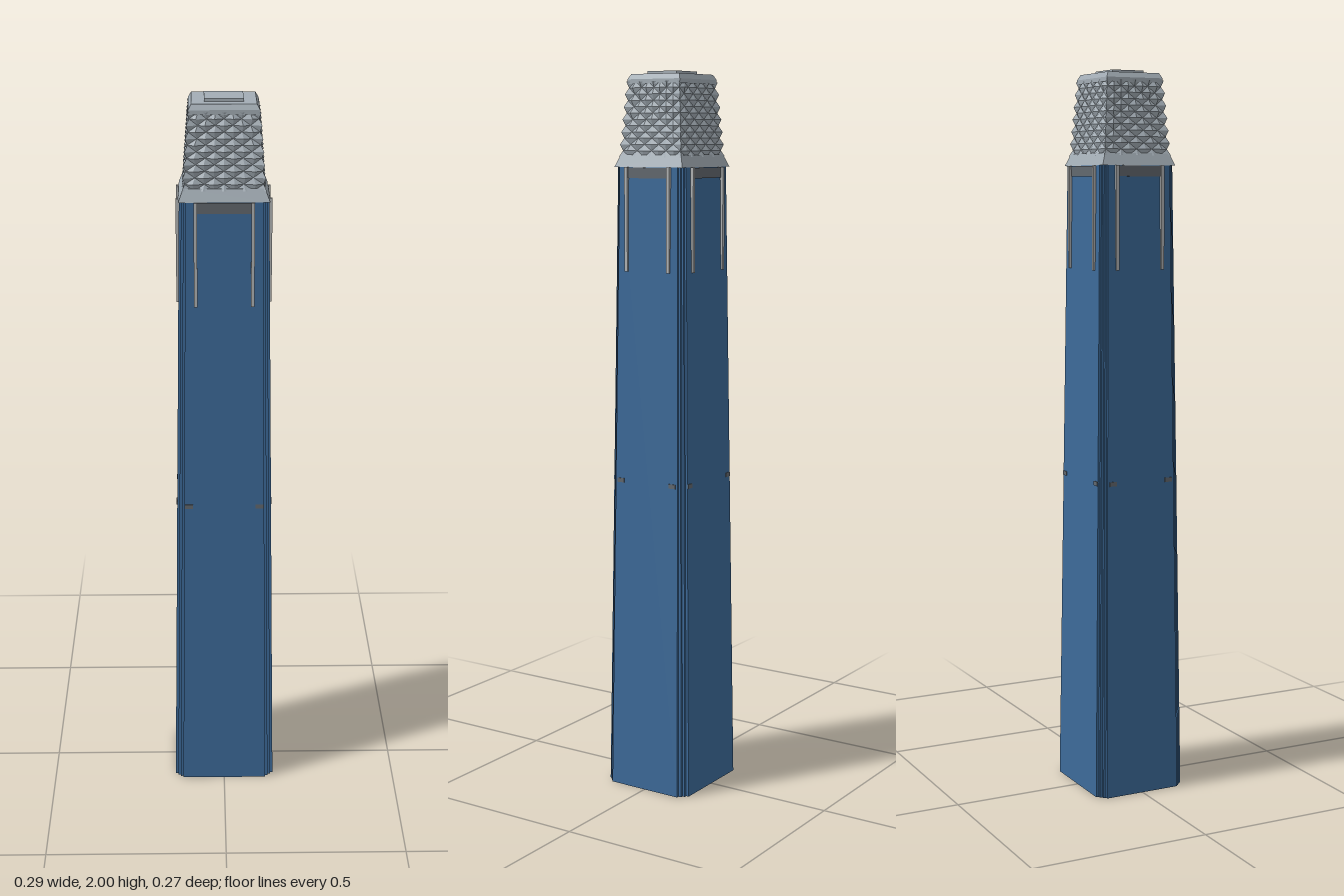
import * as THREE from 'three';

const TOP = 1.745; // height of the shaft
const mat = (name, color, double) => {
  const m = new THREE.MeshStandardMaterial({ color, flatShading: true });
  m.name = name;
  if (double) m.side = THREE.DoubleSide;
  return m;
};

// Half width / half depth of the shaft at height y
const halfX = (y) => THREE.MathUtils.lerp(0.144, 0.117, y / TOP);
const halfZ = (y) => THREE.MathUtils.lerp(0.134, 0.11, y / TOP);

// Skin closed rings of equal length; each ring runs counter-clockwise seen from above
function loft(rings, cap) {
  const pos = [];
  const tri = (...pts) => pts.forEach((p) => pos.push(p.x, p.y, p.z));
  const n = rings[0].length;
  for (let r = 0; r < rings.length - 1; r++) {
    for (let i = 0; i < n; i++) {
      const j = (i + 1) % n;
      const a = rings[r][i], b = rings[r][j], c = rings[r + 1][j], d = rings[r + 1][i];
      // alternate the diagonal so neighbouring cells form diamonds
      if ((r + i) % 2 === 0) tri(a, b, d, b, c, d);
      else tri(a, b, c, a, c, d);
    }
  }
  if (cap) {
    const last = rings[rings.length - 1];
    for (let i = 1; i < n - 1; i++) tri(last[0], last[i], last[i + 1]);
  }
  const g = new THREE.BufferGeometry();
  g.setAttribute('position', new THREE.Float32BufferAttribute(pos, 3));
  g.computeVertexNormals();
  return g;
}

// Rectangle ring with stepped corners
function steppedRing(y, step) {
  const hx = halfX(y), hz = halfZ(y), pts = [];
  const corner = [];
  for (let k = 0; k <= 3; k++) {
    corner.push([hx - (3 - k) * step, hz - k * step]);
    if (k < 3) corner.push([hx - (3 - k) * step, hz - (k + 1) * step]);
  }
  const back = [...corner].reverse();
  const add = (list, sx, sz) => list.forEach(([x, z]) => pts.push(new THREE.Vector3(x * sx, y, z * sz)));
  add(corner, 1, 1);
  add(back, 1, -1);
  add(corner, -1, -1);
  add(back, -1, 1);
  return pts;
}

// Rectangle ring with n points per side; alternate points pushed out by bump
function rectRing(y, hx, hz, n, bump = 0, parity = 0) {
  const pts = [];
  const sides = [[-1, 1, 1, 0], [1, 1, 0, -1], [1, -1, -1, 0], [-1, -1, 0, 1]];
  sides.forEach(([sx, sz, dx, dz]) => {
    for (let i = 0; i < n; i++) {
      const t = (2 * i) / n;
      const b = (i + parity) % 2 === 0 ? bump : 0;
      pts.push(new THREE.Vector3((sx + dx * t) * (hx + b), y, (sz + dz * t) * (hz + b)));
    }
  });
  return pts;
}

export function createModel() {
  const model = new THREE.Group();
  const glass = mat('blue glass', 0x3d6a99, true);
  const stone = mat('pale grey', 0xa3adb5, true);
  const metal = mat('light metal', 0xb2b4b5);
  const dark = mat('dark grey', 0x62686e);
  const add = (geo, material, name, parent = model) => {
    const m = new THREE.Mesh(geo, material);
    m.name = name;
    parent.add(m);
    return m;
  };

  // Tapering open shaft with stepped corners
  add(loft([steppedRing(0, 0.0077), steppedRing(TOP, 0.0055)]), glass, 'shaft');

  // Crown: flared collar, faceted diamond wall, chamfered roof
  add(loft([rectRing(TOP, 0.119, 0.11, 1), rectRing(1.778, 0.106, 0.097, 1)], true), stone, 'collar');
  const rows = 12, wall = [];
  for (let r = 0; r <= rows; r++) {
    const t = r / rows;
    wall.push(rectRing(1.772 + 0.2 * t, 0.103 - 0.015 * t, 0.094 - 0.015 * t, 8, 0.007, r));
  }
  // Shift parity so cell diagonals join the recessed points
  add(loft(wall), stone, 'diamondWall');
  add(loft([rectRing(1.966, 0.092, 0.084, 1), rectRing(1.978, 0.092, 0.084, 1),
    rectRing(1.992, 0.084, 0.077, 1)], true), stone, 'roof');
  const cap = add(new THREE.BoxGeometry(0.102, 0.01, 0.094), stone, 'roofCap');
  cap.position.y = 1.995;

  // Details repeated on the four faces
  const faces = [
    { name: 'front', turn: 0, half: halfZ, fin: 0.075, mark: 0.098, vent: 0.07 },
    { name: 'left', turn: 1, half: halfX, fin: 0.068, mark: 0.085, vent: 0.064 },
    { name: 'back', turn: 2, half: halfZ, fin: 0.075, mark: 0.098, vent: 0.07 },
    { name: 'right', turn: 3, half: halfX, fin: 0.068, mark: 0.085, vent: 0.064 },
  ];
  for (const f of faces) {
    const side = new THREE.Group();
    side.name = f.name + 'Details';
    side.rotation.y = (f.turn * Math.PI) / 2;
    model.add(side);
    for (const s of [-1, 1]) {
      const fin = add(new THREE.BoxGeometry(0.009, 0.28, 0.012), metal, 'fin', side);
      fin.position.set(s * f.fin, 1.605, f.half(1.605) + 0.001);
      const mark = add(new THREE.BoxGeometry(0.022, 0.012, 0.004), dark, 'smallVent', side);
      mark.position.set(s * f.mark, 0.885, f.half(0.885));
    }
    const vent = add(new THREE.BoxGeometry(f.vent * 2, 0.028, 0.006), dark, 'topVent', side);
    vent.position.set(0, 1.73, f.half(1.73));
  }
  return model;
}
